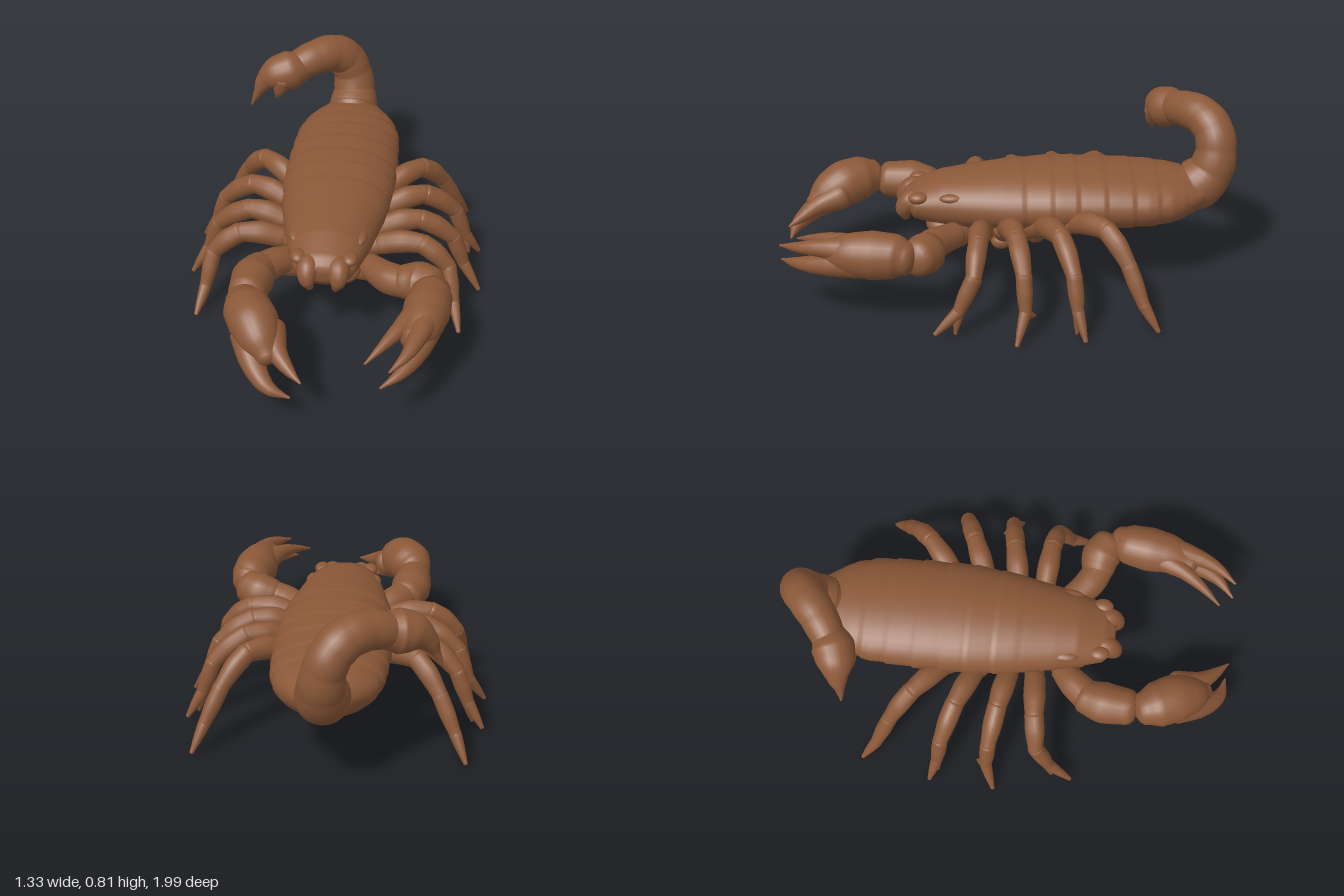
import * as THREE from 'three';

const shell = new THREE.MeshStandardMaterial({ color: 0x8b5838 });
shell.name = 'brown shell';

// Closed skin over a list of rings, each a list of Vector3
function skin(rings) {
  const n = rings[0].length, pos = [], idx = [];
  rings.forEach(r => r.forEach(p => pos.push(p.x, p.y, p.z)));
  for (let i = 0; i < rings.length - 1; i++) {
    for (let j = 0; j < n; j++) {
      const a = i * n + j, b = i * n + (j + 1) % n;
      idx.push(a, b, a + n, b, b + n, a + n);
    }
  }
  const g = new THREE.BufferGeometry();
  g.setAttribute('position', new THREE.Float32BufferAttribute(pos, 3));
  g.setIndex(idx);
  g.computeVertexNormals();
  return g;
}

function add(parent, name, geometry) {
  const m = new THREE.Mesh(geometry, shell);
  m.name = name;
  parent.add(m);
  return m;
}

// Rounded tube through points [x, y, z, radius]; tall scales its height
function limb(path, { tall = 1, bulge = 0, steps = 6, sides = 16 } = {}) {
  const curve = new THREE.CatmullRomCurve3(path.map(p => new THREE.Vector3(p[0], p[1], p[2])));
  const count = (path.length - 1) * steps, rings = [];
  let up = new THREE.Vector3(0, 1, 0);
  const ring = (c, t, r) => {
    const n = up.clone().addScaledVector(t, -up.dot(t)).normalize();
    const b = new THREE.Vector3().crossVectors(t, n);
    up = n;
    return Array.from({ length: sides }, (_, j) => {
      const a = j / sides * Math.PI * 2;
      return c.clone().addScaledVector(n, Math.cos(a) * r * tall).addScaledVector(b, -Math.sin(a) * r);
    });
  };
  for (let i = 0; i <= count; i++) {
    const u = i / count, f = u * (path.length - 1), k = Math.min(Math.floor(f), path.length - 2);
    const w = THREE.MathUtils.smoothstep(f - k, -0.2, 1.2);
    const r = THREE.MathUtils.lerp(path[k][3], path[k + 1][3], w)
      * (1 + bulge * (Math.abs(Math.sin(f * Math.PI)) - 0.5));
    const c = curve.getPoint(u), t = curve.getTangent(u).normalize();
    const cap = (e, s) => ring(c.clone().addScaledVector(t, s * r * 0.6 * Math.cos(e)), t, r * Math.sin(e));
    if (i === 0) for (const e of [0, 0.4, 0.8, 1.2]) rings.push(cap(e, -1));
    rings.push(ring(c, t, r));
    if (i === count) for (const e of [1.2, 0.8, 0.4, 0]) rings.push(cap(e, 1));
  }
  // Corners are reversed so that faces point outward
  return skin(rings.map(r => r.reverse()));
}

function blob(parent, name, p, s) {
  const m = add(parent, name, new THREE.SphereGeometry(1, 20, 14));
  m.position.set(...p);
  m.scale.set(...s);
  return m;
}

// Trunk sections: z, half width, bottom, widest height, top
const trunk = [
  [0.465, 0.07, 0.36, 0.40, 0.43], [0.42, 0.135, 0.31, 0.40, 0.465], [0.30, 0.17, 0.28, 0.40, 0.51],
  [0.20, 0.195, 0.27, 0.40, 0.525], [0.03, 0.23, 0.275, 0.40, 0.545], [-0.20, 0.252, 0.27, 0.41, 0.555],
  [-0.40, 0.25, 0.27, 0.41, 0.548], [-0.60, 0.24, 0.28, 0.41, 0.532], [-0.70, 0.217, 0.29, 0.41, 0.52],
  [-0.78, 0.17, 0.312, 0.415, 0.505], [-0.86, 0.11, 0.355, 0.43, 0.485]];

function body() {
  const rings = [], count = 120, sides = 40;
  const section = (s, k) => Array.from({ length: sides }, (_, j) => {
    const a = j / sides * Math.PI * 2, c = Math.cos(a), q = Math.sin(a);
    const h = q > 0 ? s[4] - s[3] : s[3] - s[2];
    return new THREE.Vector3(c * s[1] * k, s[3] + q * h * k, s[0]);
  });
  for (let i = 0; i <= count; i++) {
    const z = THREE.MathUtils.lerp(0.465, -0.86, i / count);
    let k = trunk.findIndex(s => s[0] <= z + 1e-9);
    k = k < 0 ? trunk.length - 1 : Math.max(1, k);
    const f = (trunk[k - 1][0] - z) / (trunk[k - 1][0] - trunk[k][0]);
    const s = trunk[k].map((v, m) => THREE.MathUtils.lerp(trunk[k - 1][m], v, f));
    // Overlapping back plates swell toward their rear edge
    const phase = (0.06 - z) / 0.118;
    const swell = phase > 0 && phase < 7 ? 0.985 + 0.03 * Math.pow(phase % 1, 0.7) : 0.99;
    if (i === 0) rings.push(section(s, 0.001));
    rings.push(section(s, swell));
    if (i === count) rings.push(section(s, 0.001));
  }
  return skin(rings.map(r => r.reverse()));
}

// Left legs: hip, thigh, knee, shin, ankle, foot tip, and the tip of a second toe
const legs = [
  { path: [[0.09, 0.26, 0.11], [0.22, 0.335, 0.13], [0.40, 0.36, 0.145], [0.52, 0.26, 0.165], [0.55, 0.12, 0.23], [0.58, 0.03, 0.33]], toe: [0.565, 0.022, 0.245] },
  { path: [[0.10, 0.26, 0.03], [0.22, 0.345, 0.01], [0.38, 0.375, -0.02], [0.53, 0.27, -0.045], [0.58, 0.13, -0.05], [0.655, 0.012, -0.012]], toe: [0.555, 0.10, -0.09] },
  { path: [[0.10, 0.26, -0.05], [0.23, 0.355, -0.14], [0.39, 0.385, -0.205], [0.53, 0.27, -0.255], [0.58, 0.13, -0.27], [0.645, 0.022, -0.30]], toe: [0.60, 0.035, -0.265] },
  { path: [[0.10, 0.26, -0.11], [0.22, 0.365, -0.28], [0.36, 0.40, -0.40], [0.46, 0.28, -0.49], [0.53, 0.13, -0.55], [0.577, 0.025, -0.612]] }];
const legRadii = [0.038, 0.046, 0.043, 0.035, 0.027, 0.009];

function leg({ path, toe }, side) {
  const g = new THREE.Group();
  const p = path.map((q, i) => [q[0] * side, q[1], q[2], legRadii[i]]);
  const names = ['legBase', 'thigh', 'shin', 'ankle', 'foot'];
  names.forEach((name, i) => {
    const a = p[i], b = p[i + 1];
    const mid = [0, 1, 2].map(k => (a[k] + b[k]) / 2);
    mid[1] += i < 3 ? 0.012 : 0;
    const r = (a[3] + b[3]) / 2;
    add(g, name, limb([a, [...mid, r * 1.12], [b[0], b[1], b[2], b[3] * (i === 4 ? 1 : 0.95)]], { sides: 12, tall: 1.05 }));
  });
  if (toe) {
    const k = p[4];
    add(g, 'toe', limb([[k[0], k[1] - 0.01, k[2], 0.022],
      [(k[0] + toe[0] * side) / 2, (k[1] + toe[1]) / 2 - 0.005, (k[2] + toe[2]) / 2, 0.017],
      [toe[0] * side, toe[1], toe[2], 0.006]], { sides: 8 }));
  }
  // Plate joining the leg to the breast
  add(g, 'hipPlate', limb([[0.025 * side, 0.24, path[0][2] * 0.8 + 0.02, 0.032], [p[0][0], p[0][1], p[0][2], 0.046],
    [0.16 * side, 0.31, path[0][2] * 1.2, 0.04]], { sides: 12 }));
  return g;
}

export function createModel() {
  const model = new THREE.Group();
  model.name = 'scorpion';
  add(model, 'trunk', body());

  // Tail, poison bulb and sting
  add(model, 'tail', limb([
    [0, 0.41, -0.76, 0.09], [0, 0.44, -0.83, 0.118], [0, 0.51, -0.89, 0.10], [-0.012, 0.60, -0.91, 0.09],
    [-0.045, 0.675, -0.90, 0.088], [-0.10, 0.72, -0.86, 0.086], [-0.175, 0.725, -0.80, 0.082], [-0.25, 0.705, -0.75, 0.074]],
  { bulge: 0.03, steps: 8, sides: 24 }));
  add(model, 'stingBulb', limb([[-0.235, 0.70, -0.755, 0.07], [-0.29, 0.69, -0.725, 0.094], [-0.355, 0.675, -0.705, 0.082],
    [-0.405, 0.64, -0.695, 0.048], [-0.438, 0.585, -0.685, 0.023], [-0.47, 0.518, -0.68, 0.004]], { sides: 20 }));
  add(model, 'stingSpur', limb([[-0.32, 0.66, -0.67, 0.05], [-0.335, 0.61, -0.66, 0.028], [-0.348, 0.575, -0.66, 0.005]], { sides: 10 }));

  for (const side of [1, -1]) {
    // Head: jaws, brow bumps and eye ridges
    add(model, 'jaw', limb([[0.06 * side, 0.405, 0.38, 0.05], [0.066 * side, 0.405, 0.435, 0.05],
      [0.066 * side, 0.37, 0.465, 0.038], [0.055 * side, 0.325, 0.46, 0.016]], { tall: 1.05 }));
    blob(model, 'browBump', [0.11 * side, 0.44, 0.40], [0.035, 0.026, 0.045]);
    blob(model, 'eyeRidge', [0.14 * side, 0.45, 0.25], [0.03, 0.022, 0.06]);
    blob(model, 'cheek', [0.075 * side, 0.30, 0.29], [0.07, 0.045, 0.08]);
    blob(model, 'mouthPlate', [0.05 * side, 0.25, 0.20], [0.05, 0.035, 0.09]);
    blob(model, 'hipKnob', [0.12 * side, 0.23, 0.04], [0.034, 0.035, 0.045]);
    // Comb organs under the belly
    add(model, 'comb', limb([[0.02 * side, 0.25, -0.12, 0.025], [0.09 * side, 0.25, -0.17, 0.03],
      [0.15 * side, 0.265, -0.21, 0.012]], { tall: 0.5, sides: 10 }));
    legs.forEach((shape, i) => {
      const g = leg(shape, side);
      g.name = (side > 0 ? 'leftLeg' : 'rightLeg') + (i + 1);
      model.add(g);
    });
  }
  blob(model, 'breastPlate', [0, 0.24, 0.04], [0.05, 0.035, 0.10]);
  blob(model, 'bellyPlate', [0, 0.275, -0.10], [0.13, 0.035, 0.10]);

  // Left claw arm, bent outward
  const left = new THREE.Group();
  left.name = 'leftClaw';
  add(left, 'armBase', limb([[0.07, 0.265, 0.19, 0.05], [0.14, 0.275, 0.23, 0.056], [0.20, 0.285, 0.26, 0.05]]));
  add(left, 'upperArm', limb([[0.18, 0.295, 0.245, 0.056], [0.27, 0.30, 0.33, 0.07], [0.35, 0.31, 0.37, 0.068]]));
  add(left, 'foreArm', limb([[0.34, 0.31, 0.36, 0.075], [0.40, 0.32, 0.37, 0.09], [0.455, 0.33, 0.40, 0.08]]));
  add(left, 'hand', limb([[0.475, 0.335, 0.445, 0.068], [0.462, 0.34, 0.49, 0.09], [0.447, 0.34, 0.59, 0.10],
    [0.432, 0.34, 0.69, 0.086], [0.40, 0.335, 0.78, 0.05]], { tall: 1.06, sides: 24 }));
  add(left, 'outerFinger', limb([[0.45, 0.31, 0.66, 0.07], [0.42, 0.285, 0.80, 0.046], [0.365, 0.265, 0.91, 0.027], [0.29, 0.245, 0.985, 0.004]]));
  add(left, 'upperFinger', limb([[0.45, 0.365, 0.65, 0.065], [0.425, 0.365, 0.79, 0.041], [0.385, 0.35, 0.90, 0.025], [0.325, 0.33, 0.985, 0.004]]));
  add(left, 'innerFinger', limb([[0.40, 0.355, 0.65, 0.055], [0.345, 0.36, 0.75, 0.035], [0.285, 0.34, 0.84, 0.021], [0.222, 0.31, 0.92, 0.004]]));
  model.add(left);

  // Right claw arm, reaching forward
  const right = new THREE.Group();
  right.name = 'rightClaw';
  add(right, 'armBase', limb([[-0.07, 0.265, 0.19, 0.05], [-0.14, 0.285, 0.25, 0.056], [-0.19, 0.30, 0.28, 0.05]]));
  add(right, 'upperArm', limb([[-0.16, 0.31, 0.25, 0.056], [-0.22, 0.325, 0.30, 0.066], [-0.27, 0.33, 0.36, 0.07]]));
  add(right, 'foreArm', limb([[-0.28, 0.33, 0.36, 0.075], [-0.30, 0.335, 0.44, 0.093], [-0.31, 0.34, 0.55, 0.08]]));
  add(right, 'hand', limb([[-0.315, 0.355, 0.62, 0.074], [-0.292, 0.355, 0.67, 0.10], [-0.25, 0.345, 0.75, 0.106],
    [-0.215, 0.315, 0.82, 0.088], [-0.175, 0.275, 0.88, 0.045]], { sides: 24 }));
  add(right, 'outerFinger', limb([[-0.27, 0.295, 0.77, 0.078], [-0.235, 0.235, 0.88, 0.052], [-0.165, 0.185, 0.96, 0.032], [-0.075, 0.16, 0.985, 0.004]]));
  add(right, 'innerFinger', limb([[-0.18, 0.32, 0.76, 0.066], [-0.14, 0.29, 0.86, 0.043], [-0.085, 0.26, 0.93, 0.026], [-0.03, 0.24, 0.985, 0.004]]));
  model.add(right);

  return model;
}
